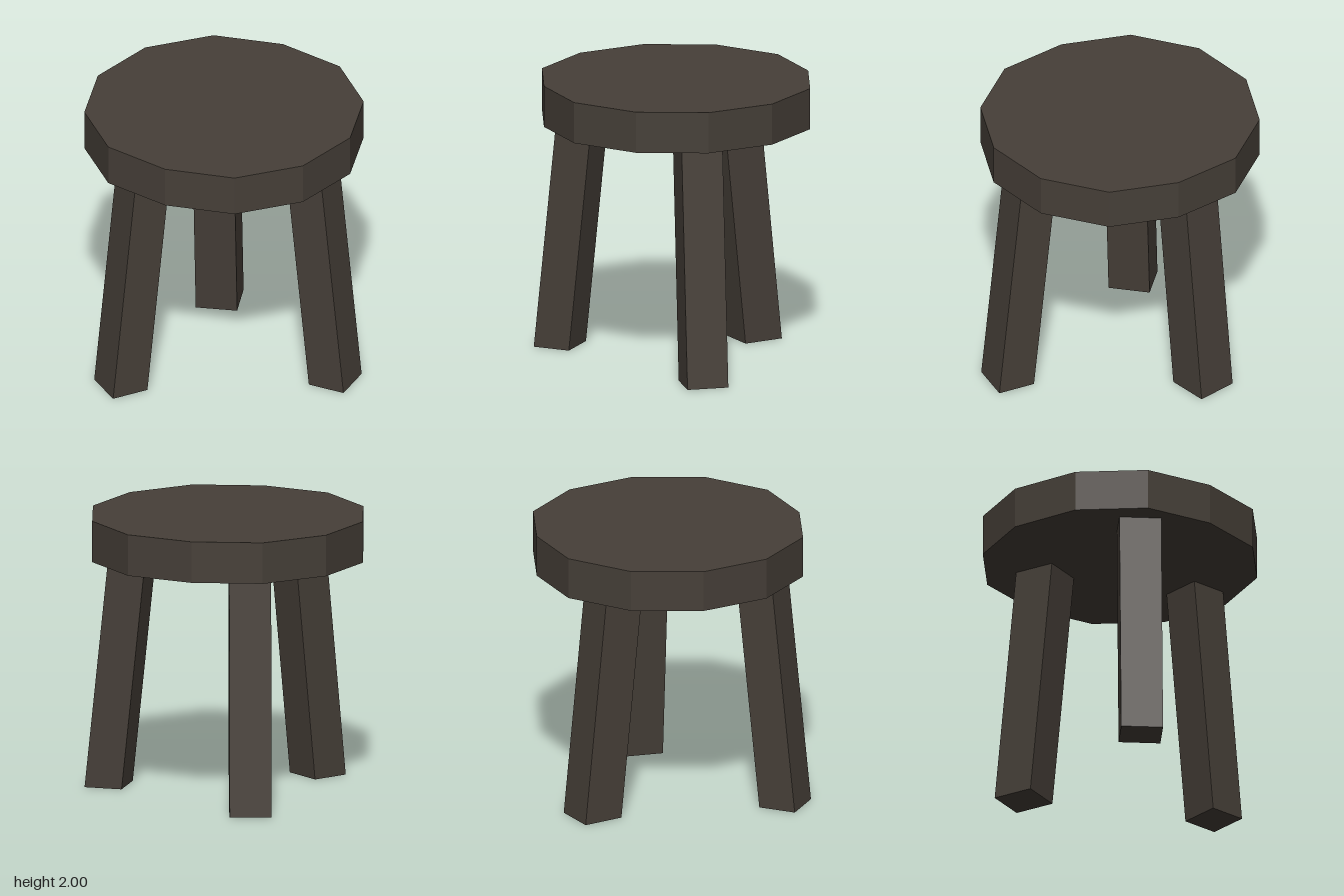
import * as THREE from 'three';

const darkWood = new THREE.MeshStandardMaterial({ color: 0x463f38 });
darkWood.name = 'darkWood';

// Applies a rule to each vertex, then gives every face its own flat normal
function reshape(geometry, rule) {
  const flat = geometry.toNonIndexed();
  const pos = flat.attributes.position;
  const v = new THREE.Vector3();
  for (let i = 0; i < pos.count; i++) {
    rule(v.fromBufferAttribute(pos, i));
    pos.setXYZ(i, v.x, v.y, v.z);
  }
  flat.computeVertexNormals();
  return flat;
}

// Splayed square leg; local +x points outward, foot centred on the origin
function makeLeg(name, depth, width, x, z, outX, outZ) {
  const height = 1.72;
  const splay = 0.104;
  const geometry = reshape(new THREE.BoxGeometry(depth, height, width), (v) => {
    const up = v.y + height / 2;
    const inner = v.x < 0;
    v.x -= splay * up;
    v.y = up === 0 && inner ? 0.016 : up;
  });
  const leg = new THREE.Mesh(geometry, darkWood);
  leg.name = name;
  leg.position.set(x, 0, z);
  leg.rotation.y = Math.atan2(-outZ, outX);
  return leg;
}

export function createModel() {
  const stool = new THREE.Group();
  stool.name = 'stool';

  // Twelve-sided slab seat, its front and back corners slightly blunted
  const slab = reshape(new THREE.CylinderGeometry(0.985, 0.985, 0.295, 12), (v) => {
    v.z = THREE.MathUtils.clamp(v.z, -0.955, 0.955);
  });
  const seat = new THREE.Mesh(slab, darkWood);
  seat.name = 'seat';
  seat.position.set(-0.0125, 1.8525, 0);
  stool.add(seat);

  // Three legs, unevenly spaced
  stool.add(
    makeLeg('leftLeg', 0.27, 0.295, 0.86, 0.008, 1, 0),
    makeLeg('frontRightLeg', 0.27, 0.295, -0.465, 0.733, -0.608, 0.794),
    makeLeg('backRightLeg', 0.295, 0.295, -0.354, -0.638, -0.29, -0.957),
  );
  return stool;
}
